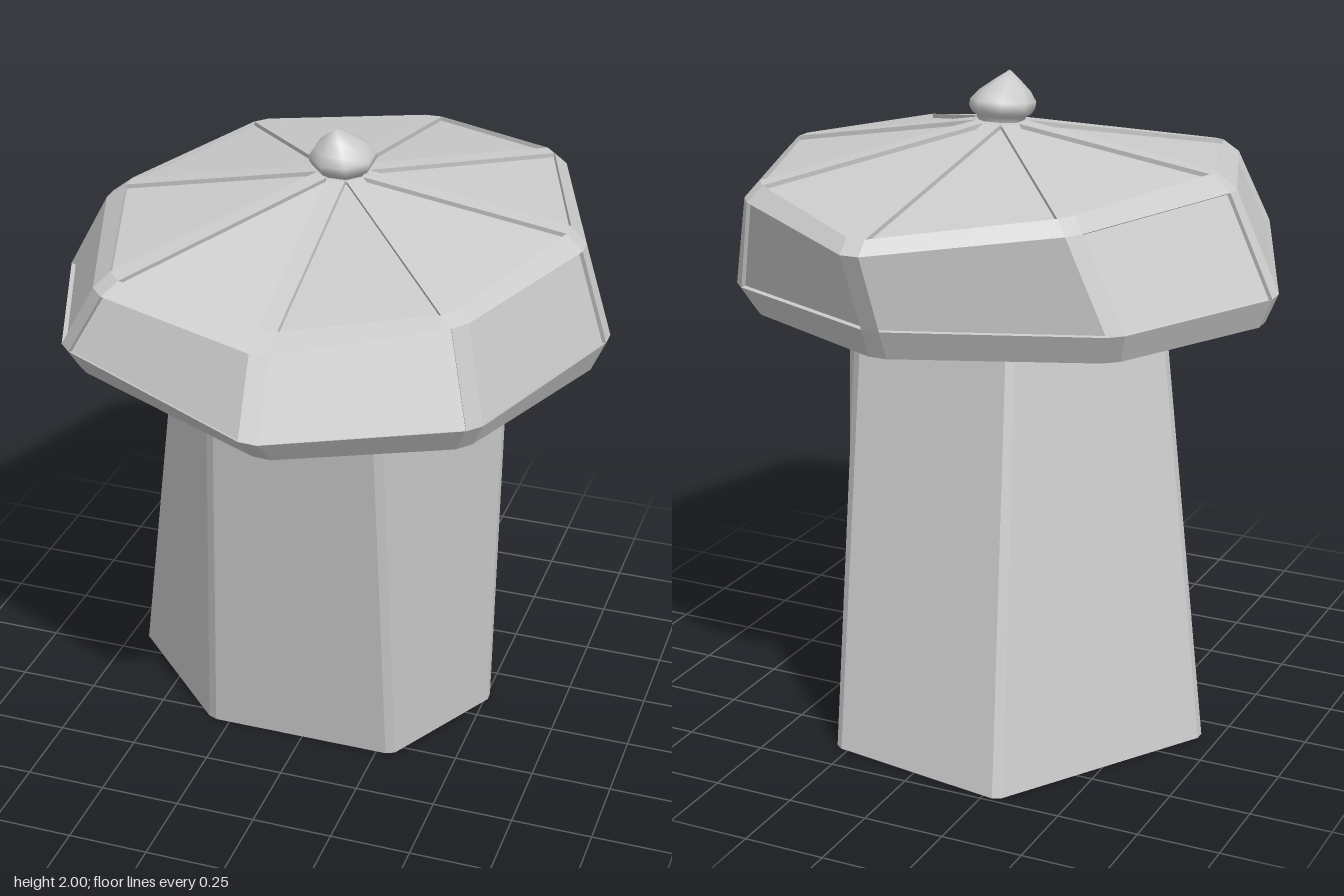
import * as THREE from 'three';
import { mergeVertices } from 'three/addons/utils/BufferGeometryUtils.js';

const grey = new THREE.MeshStandardMaterial({ color: 0xcccccc, side: THREE.DoubleSide });
const V = (p) => new THREE.Vector3(...p);

// Split every corner of a closed loop into two points, giving a flat chamfer of width 2h
function chamfer(loop, h) {
  const n = loop.length, out = [];
  loop.forEach((p, i) => {
    const t = V(loop[(i + 1) % n]).sub(V(loop[(i + n - 1) % n])).normalize().multiplyScalar(h);
    out.push(V(p).sub(t), V(p).add(t));
  });
  return out;
}

const quadNormal = (a, b, c, d) => c.clone().sub(a).cross(d.clone().sub(b)).normalize();

// Collects faces, corners anticlockwise from outside; each quad is shaded as one facet
class Faces {
  constructor() { this.pos = []; this.nor = []; }
  tri(pts, n) {
    pts.forEach((p) => { this.pos.push(...p.toArray()); this.nor.push(...n.toArray()); });
  }
  quad(...q) {
    const n = quadNormal(...q);
    const mid = new THREE.Vector3();
    q.forEach((p) => mid.addScaledVector(p, 0.25));
    q.forEach((p, i) => this.tri([p, q[(i + 1) % 4], mid], n));
  }
  sunkQuad(rim, depth) {
    const shift = quadNormal(...rim).multiplyScalar(-depth);
    const low = rim.map((p) => p.clone().add(shift));
    this.quad(...low);
    rim.forEach((p, i) => this.quad(p, rim[(i + 1) % 4], low[(i + 1) % 4], low[i]));
  }
  fan(ring, centre, n) {
    ring.forEach((p, i) => {
      const q = ring[(i + 1) % ring.length];
      this.tri(n.y > 0 ? [p, q, centre] : [q, p, centre], n);
    });
  }
  mesh(name) {
    const g = new THREE.BufferGeometry();
    g.setAttribute('position', new THREE.Float32BufferAttribute(this.pos, 3));
    g.setAttribute('normal', new THREE.Float32BufferAttribute(this.nor, 3));
    const m = new THREE.Mesh(g, grey);
    m.name = name;
    return m;
  }
}

// Join two rings; where panels are given, odd segments are sunk between the corner strips
function band(faces, panels, lower, upper) {
  const n = lower.length;
  for (let i = 0; i < n; i++) {
    const j = (i + 1) % n;
    const q = [lower[i], lower[j], upper[j], upper[i]];
    if (panels && i % 2) panels.sunkQuad(q, 0.014);
    else faces.quad(...q);
  }
}

// Leaning six-sided stalk, open below
function makeStalk() {
  const bottom = [[0.295, 0, 0.29], [0.51, 0, -0.11], [0.285, 0, -0.64], [-0.295, 0, -0.73], [-0.69, 0, -0.10], [-0.31, 0, 0.29]];
  const top = [[0.30, 1.36, 0.49], [0.55, 1.36, -0.02], [0.29, 1.36, -0.45], [-0.21, 1.36, -0.45], [-0.505, 1.36, -0.02], [-0.21, 1.36, 0.49]];
  const stalk = new Faces();
  band(stalk, null, chamfer(bottom, 0.015), chamfer(top, 0.015));
  return stalk.mesh('stalk');
}

function makeCap() {
  const cap = new THREE.Group();
  cap.name = 'cap';
  // Corner loops: front, front +x, +x, back +x, back, back -x, -x, front -x
  const under = [[0.08, 1.33, 0.84], [0.59, 1.33, 0.60], [0.815, 1.33, 0], [0.58, 1.33, -0.54], [0.05, 1.33, -0.78], [-0.56, 1.33, -0.54], [-0.82, 1.33, -0.02], [-0.56, 1.385, 0.60]];
  const rim = [[0.07, 1.415, 0.92], [0.63, 1.415, 0.64], [0.855, 1.42, -0.01], [0.62, 1.42, -0.58], [0.05, 1.42, -0.82], [-0.59, 1.42, -0.58], [-0.858, 1.42, -0.02], [-0.59, 1.47, 0.645]];
  const shoulder = [[0.05, 1.61, 0.77], [0.57, 1.70, 0.60], [0.77, 1.70, -0.01], [0.55, 1.70, -0.64], [0.055, 1.66, -0.92], [-0.47, 1.70, -0.60], [-0.69, 1.70, 0.06], [-0.47, 1.675, 0.67]];
  const eave = [[0.05, 1.65, 0.70], [0.53, 1.72, 0.565], [0.72, 1.75, -0.01], [0.52, 1.745, -0.60], [0.055, 1.70, -0.88], [-0.43, 1.74, -0.565], [-0.625, 1.75, 0.06], [-0.43, 1.715, 0.635]];
  const crown = eave.map((_, i) => {
    const a = (i * Math.PI) / 4;
    return [0.042 + 0.075 * Math.sin(a), 1.853, 0.015 + 0.075 * Math.cos(a)];
  });
  const [u, l, s, e, c] = [under, rim, shoulder, eave, crown].map((loop) => chamfer(loop, 0.028));

  const frame = new Faces(), sidePanels = new Faces(), roofPanels = new Faces(), base = new Faces();
  band(frame, null, u, l);
  band(frame, sidePanels, l, s);
  band(frame, null, s, e);
  band(frame, roofPanels, e, c);
  frame.fan(c, V([0.042, 1.862, 0.015]), V([0, 1, 0]));
  base.fan(u, V([0.02, 1.335, 0.01]), V([0, -1, 0]));
  cap.add(frame.mesh('capFrame'), sidePanels.mesh('sidePanels'), roofPanels.mesh('roofPanels'), base.mesh('capUnderside'));
  return cap;
}

// Squat pointed knob, tilted with its tip leaning forward
function makeFinial() {
  const profile = [[0.068, 0], [0.075, 0.014], [0.09, 0.024], [0.1, 0.042], [0.1, 0.06], [0.078, 0.088], [0.04, 0.119], [0, 0.148]];
  let g = new THREE.LatheGeometry(profile.map((p) => new THREE.Vector2(...p)), 8, Math.PI / 8);
  const p = g.attributes.position;
  for (let i = 0; i < p.count; i++) {
    const x = p.getX(i), y = p.getY(i), z = p.getZ(i), lean = Math.max(0, y - 0.05) / 0.1;
    p.setXYZ(i, x - 0.008 * lean, y - 0.12 * z, z + 0.01 * Math.min(1, y / 0.05) + 0.037 * lean);
  }
  g.deleteAttribute('uv');
  g.deleteAttribute('normal');
  g = mergeVertices(g, 1e-4);
  g.computeVertexNormals();
  const m = new THREE.Mesh(g, grey);
  m.position.set(0.043, 1.852, 0.012);
  m.name = 'finial';
  return m;
}

export function createModel() {
  const model = new THREE.Group();
  model.name = 'mushroomHouse';
  model.add(makeStalk(), makeCap(), makeFinial());
  return model;
}
